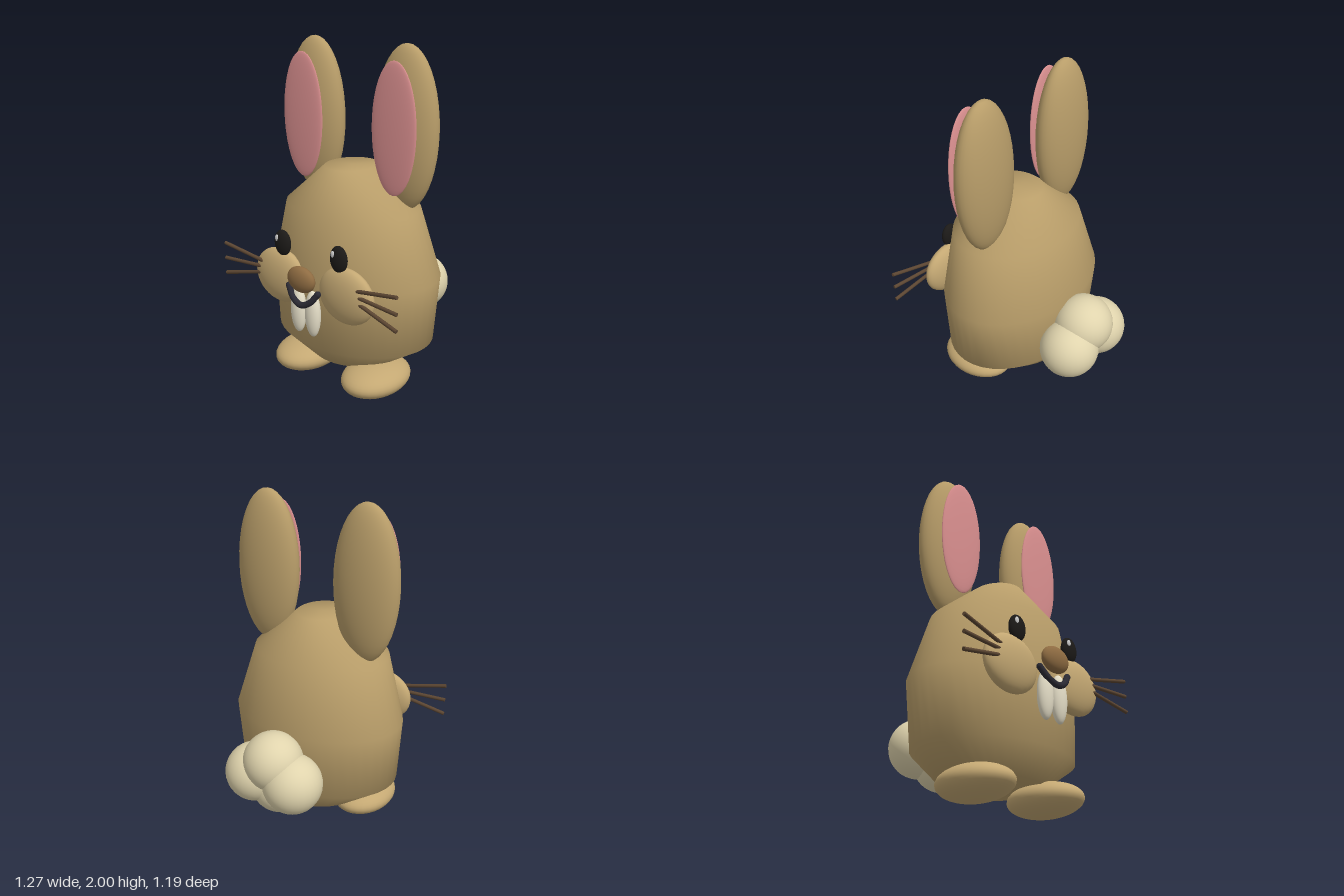
import * as THREE from 'three';
import { toCreasedNormals } from 'three/addons/utils/BufferGeometryUtils.js';

const paint = (color) => new THREE.MeshStandardMaterial({ color });
const fur = paint(0xb89d69), paleFur = paint(0xc4a873), pink = paint(0xdb9090), cream = paint(0xe0d4ad);
const ivory = paint(0xe6dfc8), black = paint(0x1c1a18), white = paint(0xffffff);
const noseBrown = paint(0x8f6c42), mouthDark = paint(0x2b2a33), whiskerBrown = paint(0x5c4632);

export function createModel() {
  const model = new THREE.Group();

  const add = (name, geometry, material) => {
    const mesh = new THREE.Mesh(geometry, material);
    mesh.name = name;
    model.add(mesh);
    return mesh;
  };
  const ellipsoid = (name, material, center, radii) => {
    const mesh = add(name, new THREE.SphereGeometry(1, 32, 20), material);
    mesh.position.set(...center);
    mesh.scale.set(...radii);
    return mesh;
  };

  // Body: elliptical rings, each [y, half width, half depth, z centre]
  const rings = [
    [0.15, 0, 0, 0.065], [0.15, 0.29, 0.265, 0.065], [0.3, 0.508, 0.381, 0.082],
    [0.69, 0.537, 0.4, 0.07], [1.08, 0.418, 0.336, 0.098], [1.31, 0.147, 0.167, 0.108], [1.31, 0, 0, 0.108],
  ];
  const body = new THREE.LatheGeometry(rings.map(([y, rx]) => new THREE.Vector2(rx, y)), 40);
  const pos = body.attributes.position;
  for (let i = 0; i < pos.count; i++) {
    const [, rx, rz, cz] = rings[i % rings.length];
    pos.setZ(i, cz + (rx ? pos.getZ(i) * rz / rx : 0));
  }
  add('body', toCreasedNormals(body, 1.3), fur);

  // Paired parts
  for (const [side, s] of [['left', 1], ['right', -1]]) {
    ellipsoid(side + 'Ear', fur, [s * 0.324, 1.545, 0.035], [0.203, 0.456, 0.105]);
    ellipsoid(side + 'InnerEar', pink, [s * 0.324, 1.557, 0.152], [0.147, 0.365, 0.022]);
    ellipsoid(side + 'Foot', paleFur, [s * 0.26, 0.098, 0.21], [0.182, 0.094, 0.236]);
    ellipsoid(side + 'Cheek', paleFur, [s * 0.243, 0.684, 0.455], [0.187, 0.163, 0.066]);
    ellipsoid(side + 'Eye', black, [s * 0.206, 0.893, 0.472], [0.057, 0.077, 0.031]);
    ellipsoid(side + 'EyeGlint', white, [s * 0.206 - 0.022, 0.923, 0.495], [0.014, 0.021, 0.008]);
    ellipsoid(side + 'Tooth', ivory, [s * 0.053, 0.545, 0.518], [0.05, 0.138, 0.038]);

    // Whiskers fan outward: [inner y, outer y]
    for (const [y0, y1] of [[0.75, 0.81], [0.72, 0.715], [0.69, 0.62]]) {
      const a = new THREE.Vector3(s * 0.33, y0, 0.49), b = new THREE.Vector3(s * 0.63, y1, 0.525);
      const line = new THREE.LineCurve3(a, b);
      const whisker = add(side + 'Whisker', new THREE.CylinderGeometry(0.011, 0.011, line.getLength(), 10), whiskerBrown);
      whisker.position.copy(line.getPoint(0.5));
      whisker.quaternion.setFromUnitVectors(new THREE.Vector3(0, 1, 0), b.sub(a).normalize());
    }
  }

  ellipsoid('nose', noseBrown, [0, 0.748, 0.548], [0.096, 0.075, 0.043]);

  // Smiling mouth with closed ends
  const smile = new THREE.CatmullRomCurve3([
    [-0.107, 0.683, 0.535], [-0.06, 0.625, 0.552], [0, 0.6, 0.56], [0.06, 0.625, 0.552], [0.107, 0.683, 0.535],
  ].map((p) => new THREE.Vector3(...p)));
  add('mouth', new THREE.TubeGeometry(smile, 32, 0.018, 12), mouthDark);
  for (const t of [0, 1]) ellipsoid('mouthCorner', mouthDark, smile.getPoint(t).toArray(), [0.018, 0.018, 0.018]);

  // Fluffy tail from four overlapping puffs
  for (const p of [[0, 0.56, -0.42], [0.13, 0.452, -0.42], [-0.13, 0.452, -0.42], [0, 0.382, -0.355]]) {
    ellipsoid('tailPuff', cream, p, [0.175, 0.175, 0.175]);
  }
  return model;
}
